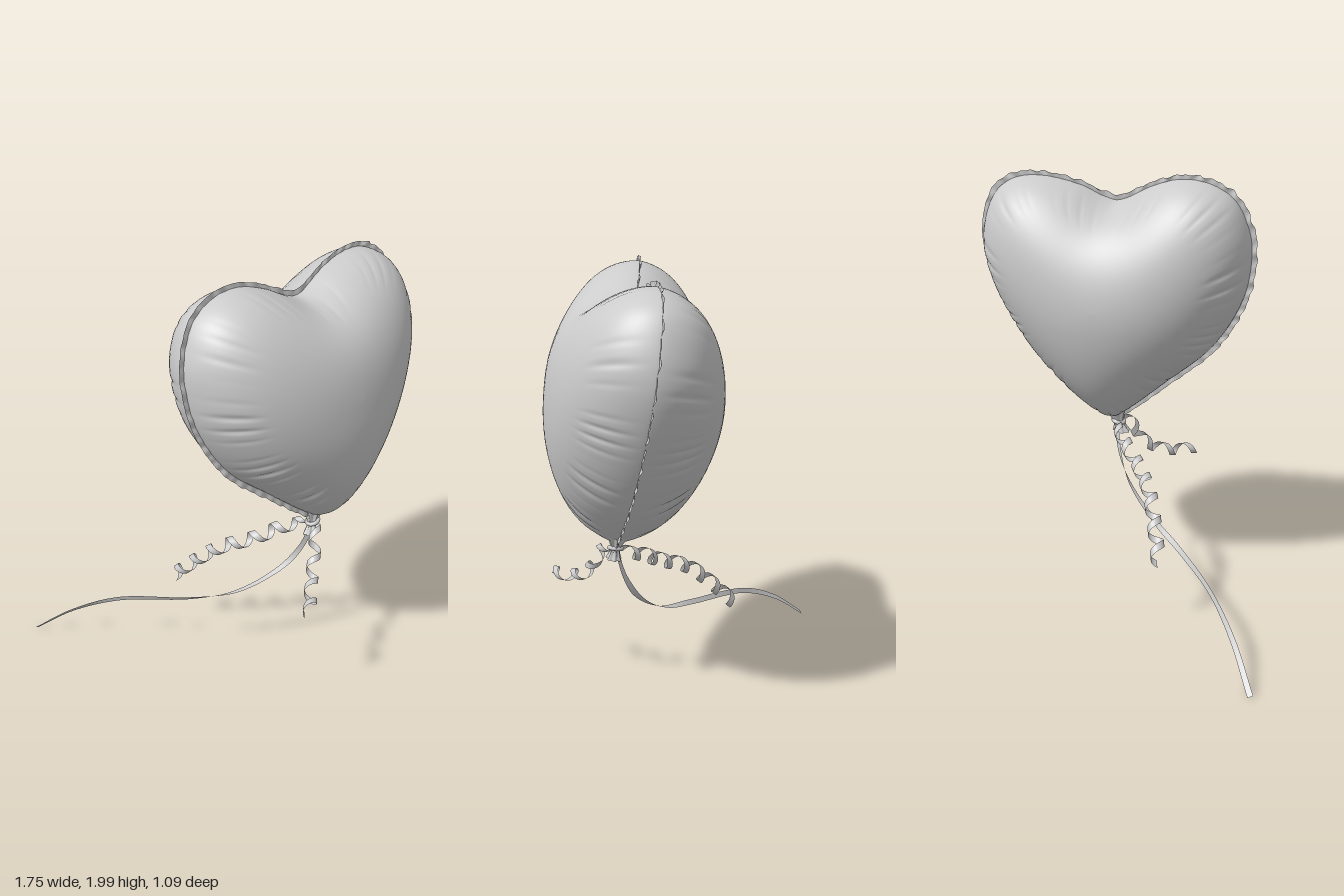
import * as THREE from 'three';

const V = (x, y, z = 0) => new THREE.Vector3(x, y, z);
const TAU = Math.PI * 2;
const { smoothstep } = THREE.MathUtils;
const solid = new THREE.MeshStandardMaterial({ color: 0xcccccc });
const thin = new THREE.MeshStandardMaterial({ color: 0xcccccc, side: THREE.DoubleSide });

// Smooth surface from fn(i, j); the i direction can close on itself
function grid(name, nu, nv, closed, material, fn) {
  const pos = [], index = [], cols = closed ? nu : nu + 1;
  for (let j = 0; j <= nv; j++)
    for (let i = 0; i < cols; i++) pos.push(...fn(i / nu, j / nv, i).toArray());
  for (let j = 0; j < nv; j++)
    for (let i = 0; i < nu; i++) {
      const k = (i + 1) % cols, a = j * cols + i, b = j * cols + k;
      index.push(a, b, a + cols, b, b + cols, a + cols);
    }
  const geo = new THREE.BufferGeometry();
  geo.setAttribute('position', new THREE.Float32BufferAttribute(pos, 3));
  geo.setIndex(index);
  geo.computeVertexNormals();
  const mesh = new THREE.Mesh(geo, material);
  mesh.name = name;
  return mesh;
}

// Heart outline in the seam plane, tip at the origin, anticlockwise
const outline = new THREE.CatmullRomCurve3([
  [0, 0], [0.055, 0.035], [0.255, 0.205], [0.43, 0.42], [0.56, 0.67], [0.61, 0.87], [0.593, 1.02],
  [0.53, 1.15], [0.43, 1.212], [0.3, 1.225], [0.13, 1.19], [0.01, 1.137], [-0.05, 1.122], [-0.11, 1.137],
  [-0.23, 1.193], [-0.37, 1.23], [-0.51, 1.212], [-0.622, 1.14], [-0.688, 1.0], [-0.7, 0.88],
  [-0.663, 0.67], [-0.52, 0.42], [-0.275, 0.205], [-0.06, 0.035],
].map(p => V(...p)), true);

// Gentle forward bow of the seam around the cleft
const bow = p => 0.03 * Math.exp(-(((p.x + 0.05) / 0.25) ** 2)) * smoothstep(p.y, 0.6, 1.1);

// Smooth measure of the distance from p to the edge of a closed polygon
function depth(p, poly) {
  let sum = 0;
  for (let k = 0; k < poly.length; k++) {
    const a = poly[k], b = poly[(k + 1) % poly.length];
    const len = Math.hypot(b.x - a.x, b.y - a.y), tx = (b.x - a.x) / len, ty = (b.y - a.y) / len;
    const ax = a.x - p.x, ay = a.y - p.y, bx = b.x - p.x, by = b.y - p.y;
    const D = ax * ty - ay * tx;
    if (Math.abs(D) < 1e-7) continue;
    sum += ((bx * tx + by * ty) / Math.hypot(bx, by) - (ax * tx + ay * ty) / Math.hypot(ax, ay)) / D;
  }
  return 1 / sum;
}

function makeBalloon() {
  const g = new THREE.Group();
  g.name = 'balloon';
  const N = 440, C = V(-0.035, 0.7);
  const rays = outline.getSpacedPoints(N).slice(0, N).map(p => {
    const d = p.clone().sub(C), len = d.length();
    return { d: d.divideScalar(len), len };
  });
  const edge = rays.map(({ d, len }) => C.clone().addScaledVector(d, len - 0.026));
  const full = depth(C, edge);

  // Inflated body: rings run from the back pole over the seam to the front pole
  g.add(grid('body', N, 52, true, solid, (s, t, i) => {
    const phi = (t - 0.5) * Math.PI, r = Math.cos(phi);
    const p = C.clone().lerp(edge[i], r);
    p.z = bow(p);
    if (t === 0.5) return p;
    // puckers fading out away from the seam, stronger on the lower half
    const side = t > 0.5 ? 0 : 1.7;
    const pinch = Math.pow(0.5 + 0.5 * Math.sin(TAU * 52 * s + 2 * Math.sin(TAU * 5 * s) + side), 3)
      * (0.5 + 0.5 * Math.sin(TAU * 11 * s + side));
    const mask = smoothstep(r, 0.72, 0.97) * (1 - 0.6 * smoothstep(p.y, 0.7, 1.1));
    const tip = 1 - Math.exp(-Math.max(p.y, 0) / 0.03);
    const fill = 0.383 * (1 + 0.12 * (0.65 - p.y)) * Math.pow(depth(p, edge) / full, 0.6);
    p.z += Math.sign(phi) * fill * tip * (1 - 0.1 * pinch * mask);
    return p;
  }));

  // Flat, slightly ruffled seam around the edge
  g.add(grid('seam', N, 3, true, thin, (s, t, i) => {
    const { d, len } = rays[i];
    const ruffle = Math.sin(TAU * 52 * s + 2 * Math.sin(TAU * 5 * s)) * Math.sin(TAU * 13 * s);
    const p = C.clone().addScaledVector(d, len - 0.038 + t * (0.037 + 0.004 * ruffle));
    p.z = bow(p) + 0.007 * t * ruffle;
    return p;
  }));

  // Pleated neck gathered at the tip, bending sideways and flaring below the tie
  const profile = new THREE.CatmullRomCurve3(
    [V(0.055, 0.06), V(0.036, 0.025), V(0.025, -0.005), V(0.028, -0.03), V(0.04, -0.06)]);
  g.add(grid('neck', 48, 14, true, thin, (s, t) => {
    const p = profile.getPoint(1 - t), r = p.x * (1 + 0.14 * Math.cos(TAU * 7 * s));
    return V(r * Math.cos(TAU * s) - 0.25 * (0.05 - p.y), p.y, -r * 0.8 * Math.sin(TAU * s));
  }));

  // Ribbon wound around the neck
  const tie = new THREE.Mesh(new THREE.TorusGeometry(0.027, 0.01, 8, 28), solid);
  tie.name = 'tie';
  tie.rotation.set(Math.PI / 2, 0.25, 0);
  tie.position.set(-0.014, -0.005, 0);
  g.add(tie);

  // Turn and lean the balloon
  const u = V(0.942, 0, -0.335).normalize(), v = V(-0.063, 0.99, -0.117);
  v.addScaledVector(u, -v.dot(u)).normalize();
  const m = new THREE.Matrix4().makeBasis(u, v, u.clone().cross(v)).setPosition(0.335, 0.775, 0.16);
  g.applyMatrix4(m);
  return g;
}

// Long trailing ribbon that twists along its length
function makeTail() {
  const path = new THREE.CatmullRomCurve3([
    V(0.33, 0.77, 0.16), V(0.29, 0.62, 0.13), V(0.2, 0.49, 0.09), V(0, 0.36, 0.02), V(-0.2, 0.31, -0.08),
    V(-0.5, 0.26, -0.28), V(-0.7, 0.155, -0.42), V(-0.862, 0.008, -0.545)]);
  const twist = new THREE.CatmullRomCurve3([
    V(1, 0.2, 0.2), V(0.9, 0.2, 0.4), V(0.5, 0.2, 0.8), V(0.3, 0.3, 0.9), V(0, 0.8, 0.6),
    V(-0.2, 1, 0.2), V(-0.6, 0.7, 0.4), V(-0.84, 0.5, 0.5)]);
  return grid('trailingRibbon', 80, 1, false, thin, (s, t) => {
    const w = twist.getPoint(s), tan = path.getTangent(s);
    w.addScaledVector(tan, -w.dot(tan)).normalize();
    return path.getPoint(s).addScaledVector(w, (t - 0.5) * 0.026);
  });
}

// Curled ribbon: a flat strip wound around a path
function makeCurl(name, points, turns, radius, width, phase) {
  const n = turns * 24, path = new THREE.CatmullRomCurve3(points);
  const f = path.computeFrenetFrames(n, false);
  return grid(name, n, 1, false, thin, (s, t, i) => {
    const a = TAU * turns * s + phase, r = radius * Math.min(1, 0.25 + s * 6);
    return path.getPointAt(s)
      .addScaledVector(f.normals[i], r * Math.cos(a))
      .addScaledVector(f.binormals[i], r * Math.sin(a))
      .addScaledVector(f.tangents[i], (t - 0.5) * width);
  });
}

export function createModel() {
  const model = new THREE.Group();
  model.name = 'heartBalloon';
  model.add(
    makeBalloon(),
    makeTail(),
    makeCurl('backCurl', [V(0.32, 0.77, 0.15), V(0.22, 0.71, 0.07), V(0.1, 0.64, 0.01),
      V(-0.04, 0.56, -0.09), V(-0.14, 0.44, -0.19), V(-0.215, 0.33, -0.27)], 7, 0.034, 0.036, 0),
    makeCurl('frontCurl', [V(0.33, 0.78, 0.17), V(0.3, 0.74, 0.24), V(0.27, 0.65, 0.29),
      V(0.22, 0.585, 0.37), V(0.17, 0.56, 0.46), V(0.13, 0.55, 0.535)], 4, 0.03, 0.034, 1),
  );
  return model;
}
